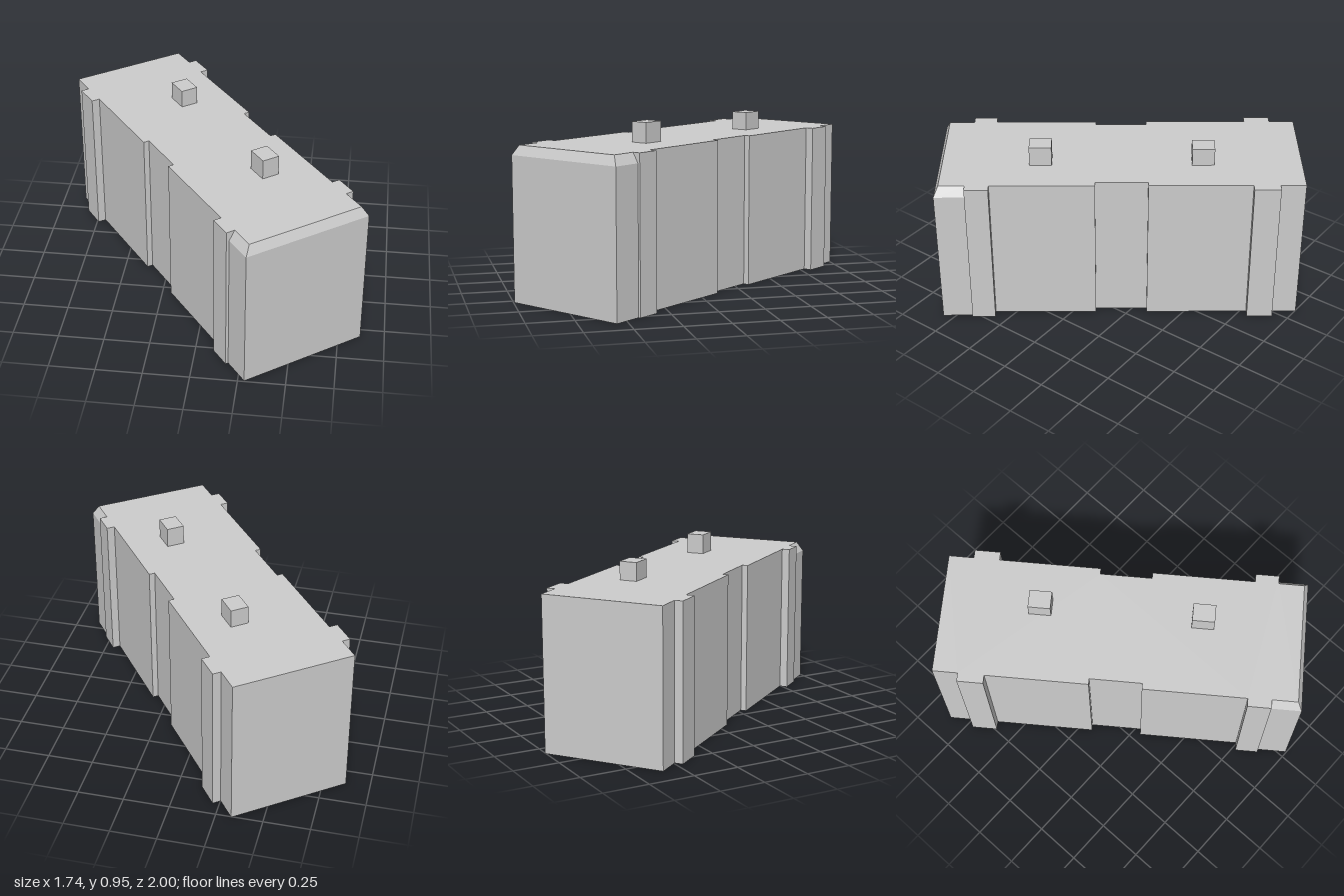
import * as THREE from 'three';

const material = new THREE.MeshStandardMaterial({ color: 0xcccccc, flatShading: true });
const HEIGHT = 0.84;

function addMesh(parent, name, geometry, x = 0, y = 0, z = 0) {
  const mesh = new THREE.Mesh(geometry, material);
  mesh.name = name;
  mesh.position.set(x, y, z);
  parent.add(mesh);
  return mesh;
}

// Mirrored plan outline: corner pilasters and a shallow recess mid-way along each side
function bodyGeometry() {
  const side = [ // half width, distance along the length
    [0.335, -1.004], [0.335, -0.867], [0.381, -0.867], [0.381, -0.725],
    [0.335, -0.725], [0.335, -0.168], [0.303, -0.168], [0.303, 0.115],
    [0.335, 0.115], [0.335, 0.676], [0.379, 0.676], [0.379, 0.804],
  ];
  const mirrored = side.map(([x, z]) => [-x, z]).reverse();
  const shape = new THREE.Shape([...side, ...mirrored].map(([x, z]) => new THREE.Vector2(x, z)));
  const geometry = new THREE.ExtrudeGeometry(shape, { depth: HEIGHT, bevelEnabled: false });
  return geometry.rotateX(Math.PI / 2).translate(0, HEIGHT, 0);
}

// End block whose top edges are chamfered on the front and both sides
function endBlockGeometry() {
  const back = 0.804, front = 0.968;
  const geometry = new THREE.BoxGeometry(0.73, 2, 1, 1, 2, 1);
  const p = geometry.attributes.position;
  for (let i = 0; i < p.count; i++) {
    const level = p.getY(i); // -1, 0 or 1
    const top = level > 0.5;
    const y = top ? HEIGHT : level < -0.5 ? 0 : 0.787;
    const x = Math.sign(p.getX(i)) * (top ? 0.333 : 0.365);
    const z = p.getZ(i) < 0 ? back : top ? front - 0.025 : front;
    p.setXYZ(i, x, y, z);
  }
  const flat = geometry.toNonIndexed();
  flat.computeVertexNormals();
  return flat;
}

export function createModel() {
  const model = new THREE.Group();
  model.name = 'building';

  // The whole building stands turned on its plot
  const building = new THREE.Group();
  building.name = 'turnedBuilding';
  building.rotation.y = 0.64;
  model.add(building);

  addMesh(building, 'body', bodyGeometry(), -0.003);
  addMesh(building, 'chamferedEnd', endBlockGeometry(), -0.001);

  // Two roof chimneys
  for (const [name, z, top] of [['backChimney', -0.469, 0.94], ['frontChimney', 0.41, 0.95]]) {
    const h = top - HEIGHT + 0.02;
    addMesh(building, name, new THREE.BoxGeometry(0.098, h, 0.121), 0.081, top - h / 2, z);
  }
  return model;
}
